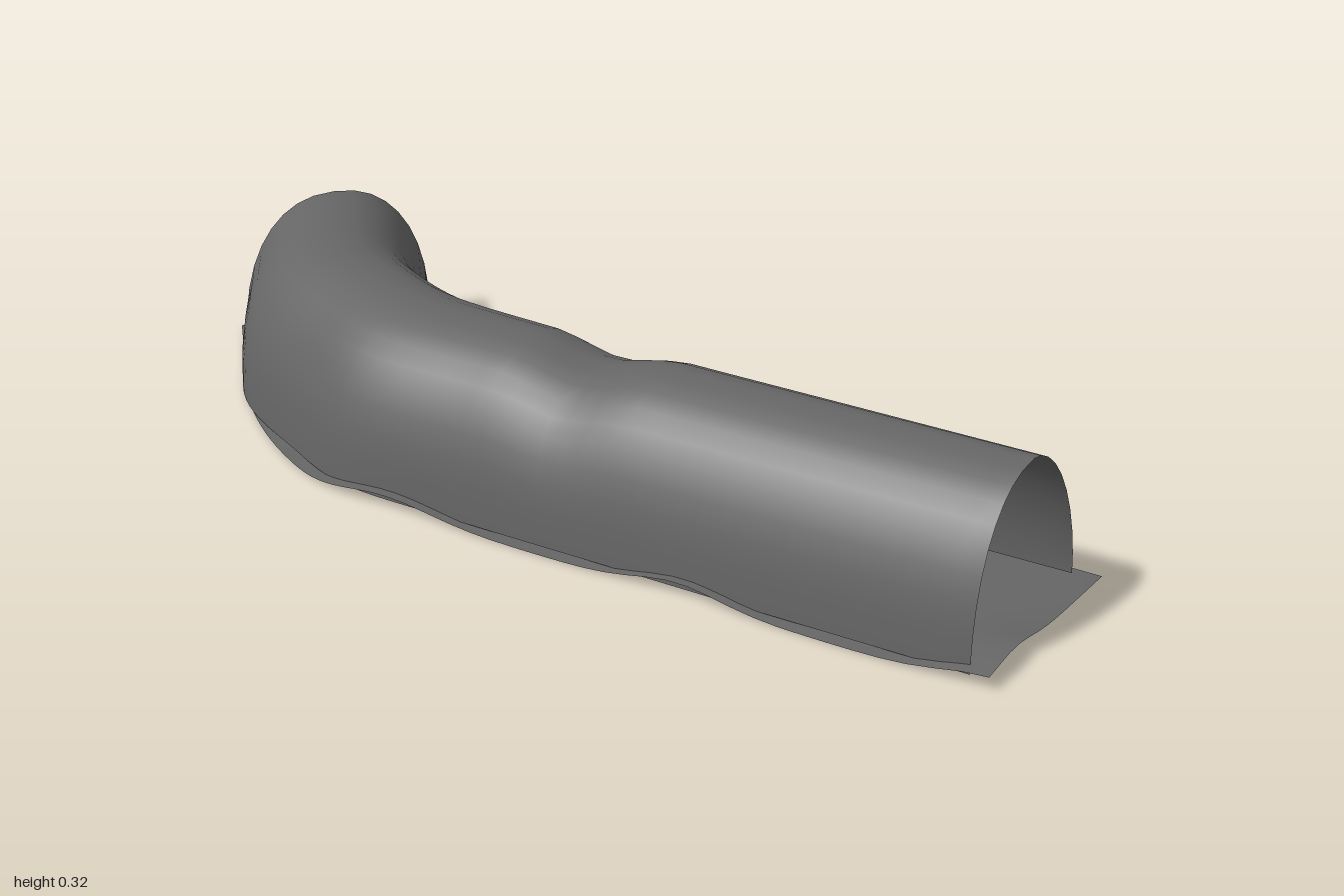
import * as THREE from 'three';

const WALL_HEIGHT = 0.312, BASE = 0.012;

// Plan outlines as [x, z]: front (outer) edge and back (inner) edge of each part
const wallOuter = [[0.955, 0.402], [0.6, 0.405], [0.25, 0.405], [-0.08, 0.405], [-0.36, 0.395], [-0.53, 0.325], [-0.75, 0.2], [-0.935, -0.03]];
const wallInner = [[0.955, -0.015], [0.6, -0.012], [0.25, -0.008], [-0.08, -0.012], [-0.28, -0.032], [-0.4, -0.068], [-0.51, -0.135], [-0.694, -0.356]];
const floorOuter = [[1, 0.425], [0.6, 0.425], [0.25, 0.425], [-0.08, 0.425], [-0.36, 0.42], [-0.53, 0.35], [-0.73, 0.21], [-1, -0.09]];
const floorInner = [[1, -0.045], [0.6, -0.05], [0.25, -0.045], [-0.08, -0.045], [-0.3, -0.045], [-0.41, -0.07], [-0.52, -0.14], [-0.745, -0.43]];

const toCurve = (pts) => new THREE.CatmullRomCurve3(pts.map(([x, z]) => new THREE.Vector3(x, 0, z)), false, 'centripetal');
const bump = (x, centre, width) => Math.exp(-(((x - centre) / width) ** 2));

// Sheet between two edge curves; place(a, b, j / cols, t) gives each vertex
function loft(outer, inner, rows, cols, place, skip = () => false) {
  const a = toCurve(outer), b = toCurve(inner), pos = [], index = [];
  for (let i = 0; i <= rows; i++) {
    const t = i / rows, p = a.getPoint(t), q = b.getPoint(t);
    for (let j = 0; j <= cols; j++) pos.push(...place(p, q, j / cols, t));
  }
  for (let i = 0; i < rows; i++) {
    for (let j = 0; j < cols; j++) {
      if (skip(i, j)) continue;
      const k = i * (cols + 1) + j, n = k + cols + 1;
      index.push(k, k + 1, n, k + 1, n + 1, n);
    }
  }
  const geo = new THREE.BufferGeometry();
  geo.setAttribute('position', new THREE.Float32BufferAttribute(pos, 3));
  geo.setIndex(index);
  geo.computeVertexNormals();
  return geo;
}

export function createModel() {
  const group = new THREE.Group();
  group.name = 'bentTunnel';
  const stone = new THREE.MeshStandardMaterial({ color: 0x666666, side: THREE.DoubleSide });
  stone.name = 'stone grey';

  // Arched shell: a rounded section, leaner on the inner side at the straight end
  const rows = 56, cols = 18;
  const arch = loft(wallOuter, wallInner, rows, cols, (p, q, v, t) => {
    const angle = v * Math.PI, c = Math.cos(angle), s = Math.max(0, Math.sin(angle));
    const power = c < 0 ? THREE.MathUtils.lerp(1.75, 2.3, Math.min(1, t * 1.3)) : 2.3;
    const side = Math.sign(c) * Math.abs(c) ** (2 / power);
    const w = (1 - side) / 2;
    const x = p.x + (q.x - p.x) * w, z = p.z + (q.z - p.z) * w;
    // shallow dent across the crown
    const dent = 0.03 * Math.max(0, 1 - Math.abs(x - 0.1) / 0.13);
    return [x, BASE + (WALL_HEIGHT - dent) * s ** (2 / power), z];
  }, (i, j) => i >= 51 && j === cols - 1); // notch low on the inner wall at the bent end
  const shell = new THREE.Mesh(arch, stone);
  shell.name = 'archedShell';
  group.add(shell);

  // Uneven ground strip, humped along its front edge and at the straight end
  const ground = loft(floorOuter, floorInner, 56, 12, (p, q, v, t) => {
    const x = p.x + (q.x - p.x) * v, z = p.z + (q.z - p.z) * v;
    const front = (1 - v) ** 2;
    const humps = 0.028 * front * (bump(x, -0.24, 0.14) + bump(x, 0.4, 0.12));
    const lip = bump(x, 1, 0.12) * (0.022 * (1 - v) + 0.018 * bump(v, 0.22, 0.2));
    const middle = 0.01 * Math.sin(v * Math.PI) * Math.sin(t * 9) ** 2;
    return [x, 0.005 + humps + lip + middle + 0.008 * bump(t, 1, 0.15), z];
  });
  const floor = new THREE.Mesh(ground, stone);
  floor.name = 'floor';
  group.add(floor);

  return group;
}
